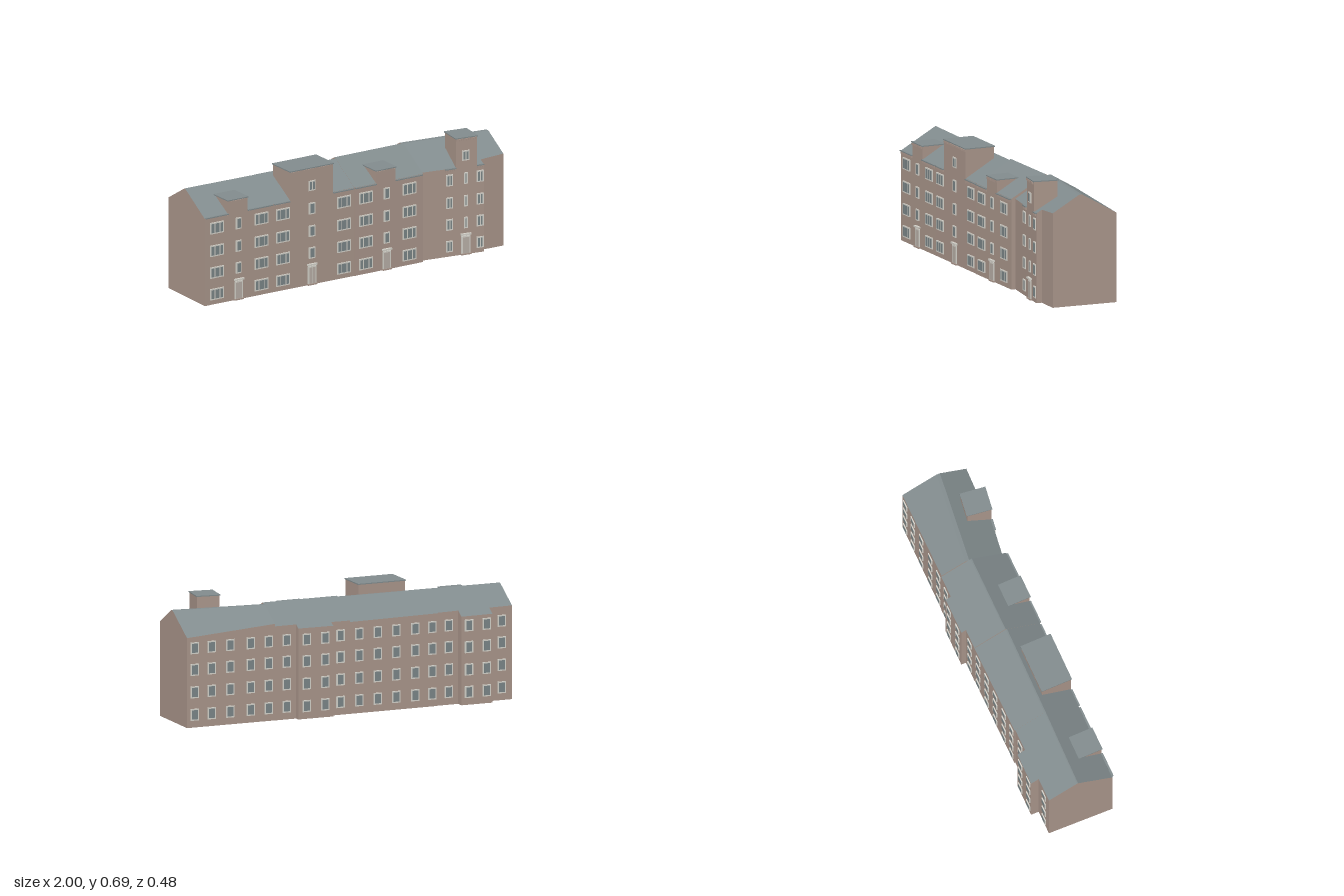
import * as THREE from 'three';
import { mergeGeometries } from 'three/addons/utils/BufferGeometryUtils.js';

const mat = (name, color) => {
  const m = new THREE.MeshStandardMaterial({ color });
  m.name = name;
  return m;
};
const lerp = THREE.MathUtils.lerp;
const SLOPE = 0.58;

export function createModel() {
  const group = new THREE.Group();
  const brick = mat('brick', 0xab978c);
  const slate = mat('slate', 0x828c8e);
  const glass = mat('glass', 0x7c8789);
  const trim = mat('paleTrim', 0xd6d4cc);
  const doorPaint = mat('doorPaint', 0xb9b0a8);

  const add = (name, geos, material, parent = group) => {
    const mesh = new THREE.Mesh(mergeGeometries(geos), material);
    mesh.name = name;
    parent.add(mesh);
  };

  // Each section: x range, [z at start, z at end] for the ridge edges,
  // and wall lines [xa, xb, za, zb] along the front and the back.
  const sections = [
    { name: 'leftHouse', x: [-1, -0.54], top: 0.633, rf: [0.018, 0.012], rb: [0.012, 0.006],
      front: [[-1, -0.54, 0.227, 0.212]],
      back: [[-1, -0.86, -0.158, -0.162], [-0.86, -0.67, -0.208, -0.213], [-0.67, -0.54, -0.167, -0.172]] },
    { name: 'middleLeftHouse', x: [-0.54, 0], top: 0.633, rf: [0.012, 0], rb: [0.004, -0.008],
      front: [[-0.54, 0, 0.212, 0.197]], back: [[-0.54, 0, -0.177, -0.197]] },
    { name: 'middleRightHouse', x: [0, 0.46], top: 0.639, rf: [-0.008, -0.024], rb: [-0.014, -0.032],
      front: [[0, 0.46, 0.2, 0.184]],
      back: [[0, 0.115, -0.198, -0.201], [0.115, 0.33, -0.229, -0.235], [0.33, 0.46, -0.204, -0.209]] },
    { name: 'rightHouse', x: [0.46, 1], top: 0.633, rf: [-0.04, 0.005], rb: [-0.064, -0.015],
      front: [[0.46, 0.85, 0.16, 0.2], [0.85, 1, 0.167, 0.165]], back: [[0.46, 1, -0.207, -0.222]] },
  ];
  const lineAt = (l, x) => lerp(l[2], l[3], (x - l[0]) / (l[1] - l[0]));
  const lineFor = (side, x) => sections.flatMap(s => s[side]).find(l => x >= l[0] && x <= l[1]);

  // Slice of a house between xa and xb, lofted between two gable outlines
  function slice(s, fl, bl, xa, xb, walls, roofs) {
    const outline = x => {
      const t = (x - s.x[0]) / (s.x[1] - s.x[0]);
      const zf = lineAt(fl, x), zb = lineAt(bl, x), rf = lerp(...s.rf, t), rb = lerp(...s.rb, t);
      return [[x, 0, zf], [x, s.top - SLOPE * (zf - rf), zf], [x, s.top, rf],
        [x, s.top, rb], [x, s.top - SLOPE * (rb - zb), zb], [x, 0, zb]];
    };
    const a = outline(xa), b = outline(xb);
    for (let i = 0; i < 6; i++) {
      const j = (i + 1) % 6;
      (i >= 1 && i <= 3 ? roofs : walls).push(a[i], b[i], b[j], a[i], b[j], a[j]);
    }
    for (let i = 1; i < 5; i++) walls.push(b[0], b[i + 1], b[i], a[0], a[i], a[i + 1]);
  }
  const surface = points => {
    const g = new THREE.BufferGeometry();
    g.setAttribute('position', new THREE.Float32BufferAttribute(points.flat(), 3));
    g.computeVertexNormals();
    return g;
  };
  for (const s of sections) {
    const walls = [], roofs = [], house = new THREE.Group();
    house.name = s.name;
    for (const f of s.front) for (const b of s.back) {
      const xa = Math.max(f[0], b[0]), xb = Math.min(f[1], b[1]);
      if (xb > xa) slice(s, f, b, xa, xb, walls, roofs);
    }
    add('walls', [surface(walls)], brick, house);
    add('roof', [surface(roofs)], slate, house);
    group.add(house);
  }

  // Box placed against a wall line; out is its centre's distance from the wall
  function onWall(side, x, y, w, h, d, out, shift = 0) {
    const l = lineFor(side, x), slope = (l[3] - l[2]) / (l[1] - l[0]);
    const g = new THREE.BoxGeometry(w, h, d);
    g.translate(shift, 0, side === 'front' ? out : -out);
    g.rotateY(-Math.atan(slope));
    return g.translate(x, y, lineAt(l, x));
  }

  const frames = [], panes = [];
  // Framed window with a row of panes given by their relative widths
  function windowAt(side, x, y0, y1, w, parts) {
    const y = (y0 + y1) / 2, h = y1 - y0, bar = 0.007;
    frames.push(onWall(side, x, y, w, h, 0.008, 0.002));
    const sum = parts.reduce((p, q) => p + q), free = w - bar * (parts.length + 1);
    let at = -w / 2 + bar;
    for (const p of parts) {
      const pw = free * p / sum;
      panes.push(onWall(side, x, y, pw, h - 2 * bar, 0.008, 0.003, at + pw / 2));
      at += pw + bar;
    }
  }
  const frontRows = [[0.028, 0.093], [0.155, 0.22], [0.283, 0.348], [0.415, 0.482]];
  const backRows = [[0.04, 0.107], [0.168, 0.235], [0.296, 0.363], [0.42, 0.486]];

  // Front living-room windows
  for (const x of [-0.92, -0.623, -0.478, -0.07, 0.075, 0.368])
    for (const [a, b] of frontRows) windowAt('front', x, a, b, 0.09, [1, 1.6, 1]);
  for (const x of [0.637, 0.826])
    for (const [a, b] of frontRows) windowAt('front', x, a, b, 0.042, [1, 1]);

  // Stair windows and entrances
  const doors = [], steps = [];
  for (const [x, w] of [[-0.775, 0.037], [-0.284, 0.04], [0.215, 0.037], [0.737, 0.022]]) {
    for (const [a, b] of frontRows.slice(1)) windowAt('front', x, a, b, w, [1]);
    frames.push(onWall('front', x, 0.055, 0.054, 0.11, 0.008, 0.002));
    frames.push(onWall('front', x, 0.12, 0.062, 0.01, 0.016, 0.006));
    for (const k of [-1, 1]) doors.push(onWall('front', x, 0.052, 0.019, 0.1, 0.008, 0.003, k * 0.0105));
    steps.push(onWall('front', x, 0.004, 0.06, 0.008, 0.014, 0.005));
  }

  // Rear windows
  for (const x of [-0.935, -0.825, -0.715, -0.61, -0.505, -0.4, -0.285, -0.17, -0.055, 0.06,
    0.165, 0.28, 0.39, 0.5, 0.61, 0.735, 0.85, 0.955])
    for (const [a, b] of backRows) windowAt('back', x, a, b, 0.05, [1]);

  // Stair towers rising through the eaves: x, width, depth, top
  const towerWalls = [], towerCaps = [], dentils = [], gutters = [];
  const dentilRow = (x, w, y) => {
    const n = Math.round(w / 0.014);
    for (let i = 0; i < n; i++)
      dentils.push(onWall('front', x, y, 0.007, 0.012, 0.008, 0.003, (i + 0.5) * w / n - w / 2));
  };
  const towers = [[-0.78, 0.13, 0.135, 0.595], [-0.285, 0.285, 0.175, 0.69],
    [0.21, 0.13, 0.135, 0.595], [0.742, 0.13, 0.14, 0.69]];
  for (const [x, w, d, top] of towers) {
    const low = 0.49;
    towerWalls.push(onWall('front', x, (low + top - 0.006) / 2, w, top - 0.006 - low, d, 0.001 - d / 2));
    towerCaps.push(onWall('front', x, top - 0.003, w + 0.01, 0.006, d + 0.01, 0.001 - d / 2));
    dentilRow(x, w, top - 0.014);
  }
  windowAt('front', -0.284, 0.553, 0.612, 0.046, [1, 1]);
  windowAt('front', 0.737, 0.553, 0.612, 0.046, [1, 1]);

  // Toothed cornice and gutter along the eaves between the towers
  for (const [a, b] of [[-0.995, -0.845], [-0.715, -0.545], [-0.535, -0.43], [-0.14, -0.005],
    [0.005, 0.145], [0.275, 0.455], [0.61, 0.677], [0.807, 0.85]]) {
    dentilRow((a + b) / 2, b - a, 0.504);
    gutters.push(onWall('front', (a + b) / 2, 0.514, b - a, 0.006, 0.012, 0.003));
  }

  add('towerWalls', towerWalls, brick);
  add('towerCaps', towerCaps, slate);
  add('corniceTeeth', dentils, brick);
  add('gutters', gutters, slate);
  add('windowAndDoorFrames', frames, trim);
  add('windowPanes', panes, glass);
  add('doorLeaves', doors, doorPaint);
  add('doorSteps', steps, brick);
  return group;
}
